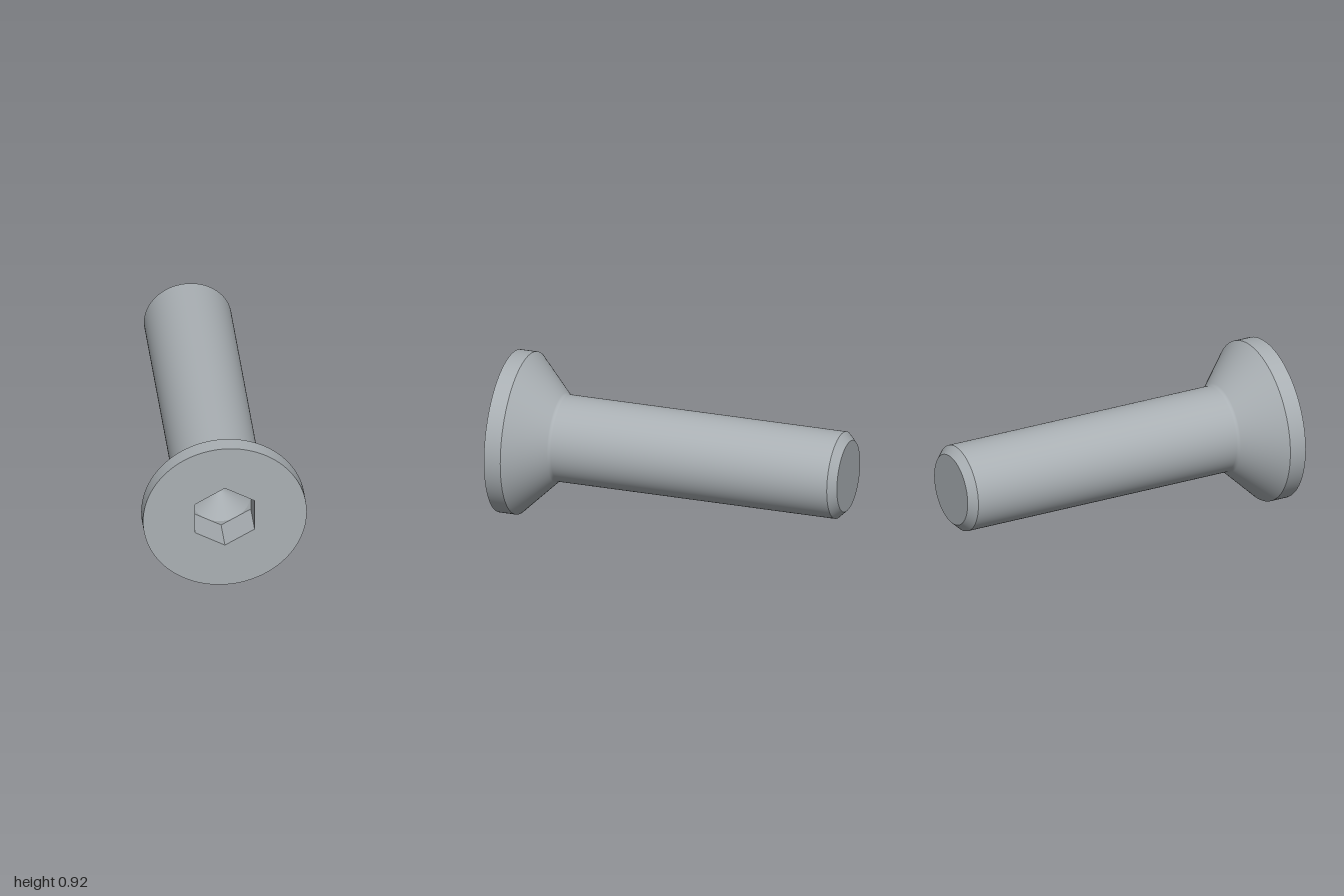
import * as THREE from 'three';

const HEAD_R = 0.461, SHANK_R = 0.247, TIP_R = 0.203;
const HEX_R = 0.193, HEX_IN = HEX_R * Math.cos(Math.PI / 6);
const RIM_Z = 0.903, SOCKET_Z = 0.8, SEGMENTS = 96;

export function createModel() {
  const group = new THREE.Group();
  group.name = 'countersunkSocketScrew';
  const steel = new THREE.MeshStandardMaterial({ color: 0xaab0b4 });
  steel.name = 'steel grey';

  const add = (name, geometry) => {
    const mesh = new THREE.Mesh(geometry, steel);
    mesh.name = name;
    mesh.position.y = HEAD_R;
    group.add(mesh);
  };
  // Revolve [radius, z] pairs around the z axis; rising z faces outward
  const revolve = (points, segments = SEGMENTS) =>
    new THREE.LatheGeometry(points.map(([r, z]) => new THREE.Vector2(r, z)), segments).rotateX(Math.PI / 2);
  const hexagon = () => Array.from({ length: 6 }, (_, i) => {
    const a = Math.PI / 2 + i * Math.PI / 3;
    return new THREE.Vector2(HEX_R * Math.cos(a), HEX_R * Math.sin(a));
  });

  // Flat face of the head with its hexagonal opening
  const face = new THREE.Shape().absarc(0, 0, HEAD_R, 0, Math.PI * 2);
  face.holes.push(new THREE.Path(hexagon()));
  add('headFace', new THREE.ShapeGeometry(face, SEGMENTS / 2).translate(0, 0, 1));
  add('headRim', revolve([[HEAD_R, RIM_Z], [HEAD_R, 1]]));

  // Shank flowing into the countersink through a small fillet
  const fillet = 0.03, tangent = fillet * Math.tan(Math.PI / 8);
  const cornerZ = RIM_Z - (HEAD_R - SHANK_R);
  const profile = [[SHANK_R, -0.955]];
  for (let i = 0; i <= 6; i++) {
    const a = i / 6 * Math.PI / 4;
    profile.push([SHANK_R + fillet * (1 - Math.cos(a)), cornerZ - tangent + fillet * Math.sin(a)]);
  }
  profile.push([HEAD_R, RIM_Z]);
  add('shankAndCountersink', revolve(profile));

  // Chamfered tip
  add('tipChamfer', revolve([[TIP_R, -1], [SHANK_R, -0.955]]));
  add('tipEnd', new THREE.CircleGeometry(TIP_R, SEGMENTS).rotateY(Math.PI).translate(0, 0, -1));

  // Hex socket: flat walls, corner ledges and a conical drill point
  const walls = revolve([[HEX_R, 1], [HEX_R, SOCKET_Z]], 6).toNonIndexed();
  walls.computeVertexNormals();
  add('socketWalls', walls);
  const ledge = new THREE.Shape(hexagon());
  ledge.holes.push(new THREE.Path().absarc(0, 0, HEX_IN - 0.0005, 0, Math.PI * 2, true));
  add('socketLedge', new THREE.ShapeGeometry(ledge, SEGMENTS / 2).translate(0, 0, SOCKET_Z));
  add('socketCone', revolve([[HEX_IN, SOCKET_Z], [0, SOCKET_Z - HEX_IN * Math.tan(Math.PI / 6)]]));

  return group;
}
